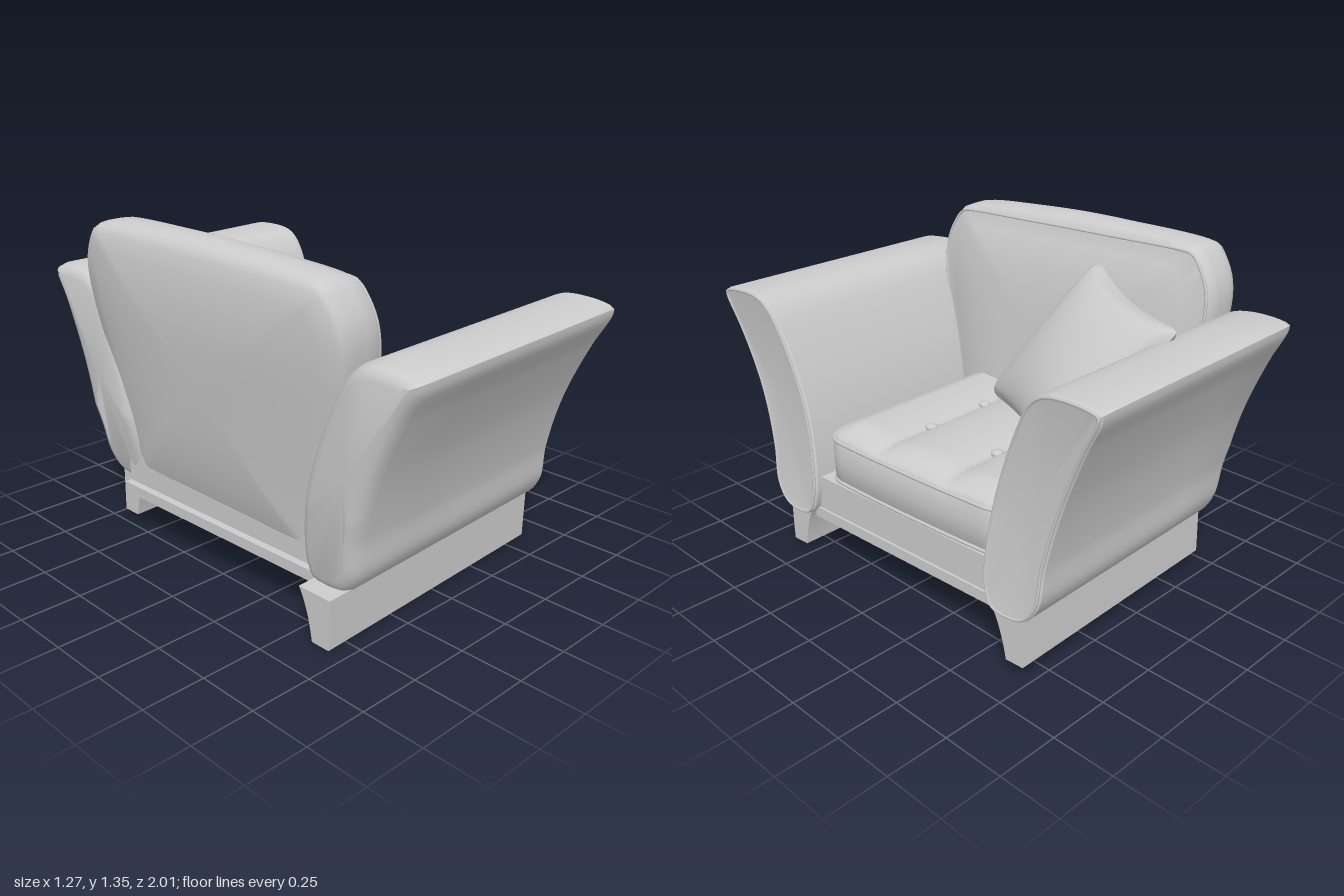
import * as THREE from 'three';
import { toCreasedNormals, mergeGeometries } from 'three/addons/utils/BufferGeometryUtils.js';

const grey = new THREE.MeshStandardMaterial({ color: 0xcccccc, side: THREE.DoubleSide });

function add(parent, name, geometry) {
  const mesh = new THREE.Mesh(geometry, grey);
  mesh.name = name;
  parent.add(mesh);
  return mesh;
}

// Closed smooth outline through a few [a, b] points
function outline(points, n) {
  const curve = new THREE.CatmullRomCurve3(points.map(([a, b]) => new THREE.Vector3(a, b, 0)), true);
  return curve.getSpacedPoints(n).slice(0, n).map(p => new THREE.Vector2(p.x, p.y));
}

// One ring of an outline: moved inwards by inset, then scaled about its middle
function ringOf(pts, inset, scale) {
  const n = pts.length;
  const mid = pts.reduce((m, p) => m.add(p), new THREE.Vector2()).divideScalar(n);
  const turn = Math.sign(THREE.ShapeUtils.area(pts));
  return pts.map((p, i) => {
    const t = pts[(i + 1) % n].clone().sub(pts[(i + n - 1) % n]).normalize();
    return new THREE.Vector2(p.x - t.y * inset * turn, p.y + t.x * inset * turn)
      .sub(mid).multiplyScalar(scale).add(mid);
  });
}

// Skin over rings [depth, inset, scale]; place(a, b, depth) gives the 3D point
function loft(pts, rings, place, crease = 0.6) {
  const n = pts.length, pos = [], index = [];
  for (const [d, inset, scale] of rings)
    for (const p of ringOf(pts, inset, scale)) pos.push(...place(p.x, p.y, d).toArray());
  for (let r = 0; r < rings.length - 1; r++)
    for (let i = 0; i < n; i++) {
      const a = r * n + i, b = r * n + (i + 1) % n;
      index.push(a, b, b + n, a, b + n, a + n);
    }
  // Turn all faces outwards
  const v = k => new THREE.Vector3().fromArray(pos, index[k] * 3);
  let volume = 0;
  for (let k = 0; k < index.length; k += 3) volume += v(k).dot(v(k + 1).cross(v(k + 2)));
  if (volume < 0) index.reverse();
  const g = new THREE.BufferGeometry();
  g.setAttribute('position', new THREE.Float32BufferAttribute(pos, 3));
  g.setIndex(index);
  return toCreasedNormals(g, crease);
}

// Thin cord following a ring
function piping(pts, inset, d, place, radius = 0.006) {
  const path = ringOf(pts, inset, 1).map(p => place(p.x, p.y, d));
  return new THREE.TubeGeometry(new THREE.CatmullRomCurve3(path, true), 140, radius, 6, true);
}

function addArm(body, side) {
  const label = side > 0 ? 'left' : 'right';
  const arm = new THREE.Group();
  arm.name = label + 'ArmGroup';
  // The right arm sits a little further forward and outward
  if (side < 0) arm.position.set(0.042, 0.008, -0.018);
  body.add(arm);
  const top = side > 0 ? 0.992 : 0.97;
  const pts = outline([[0.975, 1.065], [0.93, 1.084], [0.76, 1.084], [0.69, 1.04], [0.613, 0.903],
    [0.517, 0.63], [0.476, 0.363], [0.482, 0.258], [0.516, 0.187], [0.66, 0.187], [0.725, 0.266],
    [0.747, 0.426], [0.81, 0.668], [0.91, 0.912], [0.972, 1.034]], 90);
  // The front edge is gently hollow in side view, the rear edge tucks in at the foot
  const tuck = side > 0 ? 0.055 : 0.1;
  const place = (z, y, x) => {
    const front = Math.max(0, (x + 0.5) / 1.1), rear = Math.max(0, (-x - 0.3) / 0.28);
    const dx = front * (0.018 * Math.cos(y * 4.4) + 0.003) + rear * tuck * Math.max(0, 1 - y / 0.5);
    return new THREE.Vector3(x + dx, y * top, side * z);
  };
  const front = side > 0 ? 0.6 : 0.588;
  add(arm, label + 'Arm', loft(pts, [[-0.58, 0.05, 0], [-0.58, 0.05, 1], [-0.572, 0.026, 1],
    [-0.555, 0.01, 1], [-0.52, 0, 1], [-0.25, 0, 1], [0.05, 0, 1], [0.35, 0, 1], [front - 0.015, 0, 1],
    [front, 0.012, 1], [front - 0.002, 0.025, 1], [front - 0.002, 0.025, 0]], place));
  add(arm, label + 'ArmPiping', piping(pts, 0.01, front - 0.003, place));

  // Full-length foot rail with a curved inner side
  const foot = new THREE.Shape();
  foot.moveTo(0.677, 0);
  foot.lineTo(0.677, 0.2);
  foot.lineTo(0.53, 0.2);
  foot.quadraticCurveTo(0.575, 0.13, 0.597, 0);
  const [rear, length] = side > 0 ? [-0.613, 1.195] : [-0.455, 1.09];
  const g = new THREE.ExtrudeGeometry(foot, { depth: length, bevelEnabled: false, curveSegments: 8 });
  const p = g.attributes.position;
  for (let i = 0; i < p.count; i++) p.setXYZ(i, p.getZ(i) + rear, p.getY(i), side * p.getX(i));
  if (side > 0) {
    // Swapping the x and z axes mirrors the shape, so reverse the corner order
    const a = p.array;
    for (let i = 0; i < a.length; i += 9)
      for (let k = 0; k < 3; k++) [a[i + k], a[i + 6 + k]] = [a[i + 6 + k], a[i + k]];
  }
  g.computeVertexNormals();
  add(body, label + 'FootRail', g);
}

function addBack(body) {
  const back = new THREE.Group();
  back.name = 'backrestGroup';
  back.position.set(0.005, 0, -0.033);
  body.add(back);
  const half = [[0.2, 0.185], [0.45, 0.185], [0.515, 0.2], [0.56, 0.4], [0.65, 0.8], [0.69, 1.0],
    [0.692, 1.12], [0.668, 1.2], [0.612, 1.28], [0.59, 1.29], [0.2, 1.297]];
  const pts = outline([...half, ...half.slice().reverse().map(([z, y]) => [-z, y])], 150);
  // Leans back, with a crown along the top
  const place = (z, y, d) => {
    const crown = 0.03 * Math.max(0, (y - 1.1) / 0.19) * Math.max(0, 1 - (z / 0.65) ** 2) * Math.max(0, 1 - (d / 0.1) ** 2);
    return new THREE.Vector3(-0.365 - 0.125 * (y - 0.17) / 1.1 + d, y + crown, z);
  };
  const rings = [];
  for (let i = 0; i <= 8; i++) {
    const s = i / 8;
    rings.push([-0.1 - 0.055 * (1 - s ** 3), 0.03, s]);
  }
  rings.push([-0.085, 0.012, 1], [-0.06, 0.003, 1], [-0.02, 0, 1], [0.03, 0, 1], [0.075, 0, 1], [0.1, 0.015, 1]);
  for (let i = 10; i >= 0; i--) {
    const s = i / 10;
    rings.push([0.1 + 0.06 * (1 - s ** 4), 0.025, s]);
  }
  add(back, 'backrest', loft(pts, rings, place, 0.8));
  add(back, 'backrestPiping', piping(pts, 0.015, 0.1, place));
}

// Height of the tufted seat top above its edge seam
function tuft(x, z) {
  const front = THREE.MathUtils.smoothstep(0.565 - x, 0, 0.13);
  const edge = Math.sqrt(front * Math.min(1, Math.max(0, (0.49 - Math.abs(z)) / 0.1)));
  const groove = Math.sqrt(Math.abs(Math.cos(Math.PI * z / 0.36)) + 0.01);
  return edge * (0.016 + 0.04 * groove);
}

function addSeat(body) {
  // The seat hangs almost level between the arms
  const seat = new THREE.Group();
  seat.name = 'seat';
  seat.position.z = -0.03;
  seat.rotation.x = -0.02;
  body.add(seat);
  const base = new THREE.BoxGeometry(1.06, 0.18, 1.1);
  base.translate(0.04, 0.25, 0);
  add(seat, 'seatBase', base);
  const trim = new THREE.BoxGeometry(1.1, 0.045, 1.1);
  trim.translate(0.03, 0.174, 0);
  add(seat, 'baseTrim', trim);

  const shape = new THREE.Shape();
  shape.moveTo(-0.45, -0.49);
  shape.lineTo(0.45, -0.49);
  shape.quadraticCurveTo(0.55, -0.49, 0.56, -0.39);
  shape.quadraticCurveTo(0.575, 0, 0.56, 0.39);
  shape.quadraticCurveTo(0.55, 0.49, 0.45, 0.49);
  shape.lineTo(-0.45, 0.49);
  shape.closePath();
  const pts = shape.getSpacedPoints(180).slice(0, 180);
  const place = (x, z, y) => new THREE.Vector3(x, y > 0.53 ? y + tuft(x, z) : y, z);
  const rings = [[0.34, 0.01, 0], [0.34, 0.01, 1], [0.352, 0, 1], [0.44, -0.004, 1], [0.52, 0, 1], [0.531, 0.01, 1]];
  for (let i = 40; i >= 0; i--) rings.push([0.532, 0.015, i / 40]);
  add(seat, 'seatCushion', loft(pts, rings, place, 1.2));
  add(seat, 'seatTopPiping', piping(pts, 0, 0.526, place, 0.008));
  add(seat, 'seatBottomPiping', piping(pts, 0, 0.35, place, 0.008));

  // Buttons along the two seams
  for (const x of [-0.05, 0.26])
    for (const z of [-0.18, 0.18]) {
      const button = add(seat, 'seatButton', new THREE.SphereGeometry(0.025, 16, 10));
      button.scale.y = 0.6;
      button.position.set(x, 0.543 + tuft(x, z), z);
    }
}

// Plump scatter cushion with blunt drawn-out corners, leaning into the corner of the seat
function addPillow(root) {
  const face = flip => {
    const g = new THREE.PlaneGeometry(2, 2, 36, 36);
    const p = g.attributes.position;
    for (let i = 0; i < p.count; i++) {
      const u = p.getX(i), v = p.getY(i), a = 1 - u * u, b = 1 - v * v;
      const blunt = 0.35 * (1 - 0.06 * (u * v) ** 8);
      p.setXYZ(i, u * (1 - 0.13 * b) * blunt, v * (1 - 0.13 * a) * blunt, 0.135 * (a * b) ** 0.45);
    }
    if (flip) g.rotateX(Math.PI);
    g.computeVertexNormals();
    return g;
  };
  const pillow = add(root, 'pillow', mergeGeometries([face(false), face(true)]));
  const across = new THREE.Vector3(0.27, -0.06, -0.575).normalize();
  const up = new THREE.Vector3(-0.36, 0.51, -0.23);
  up.addScaledVector(across, -up.dot(across)).normalize();
  pillow.quaternion.setFromRotationMatrix(
    new THREE.Matrix4().makeBasis(across, up, across.clone().cross(up)));
  pillow.position.set(-0.035, 0.92, -0.385);
}

export function createModel() {
  const root = new THREE.Group();
  root.name = 'armchair';
  // The chair stands slightly turned and tipped
  const body = new THREE.Group();
  body.name = 'chairBody';
  body.rotation.set(0.03, 0.038, 0.008);
  body.position.set(0, 0.025, -0.022);
  root.add(body);
  for (const side of [1, -1]) addArm(body, side);
  addBack(body);
  addSeat(body);
  addPillow(root);
  return root;
}
